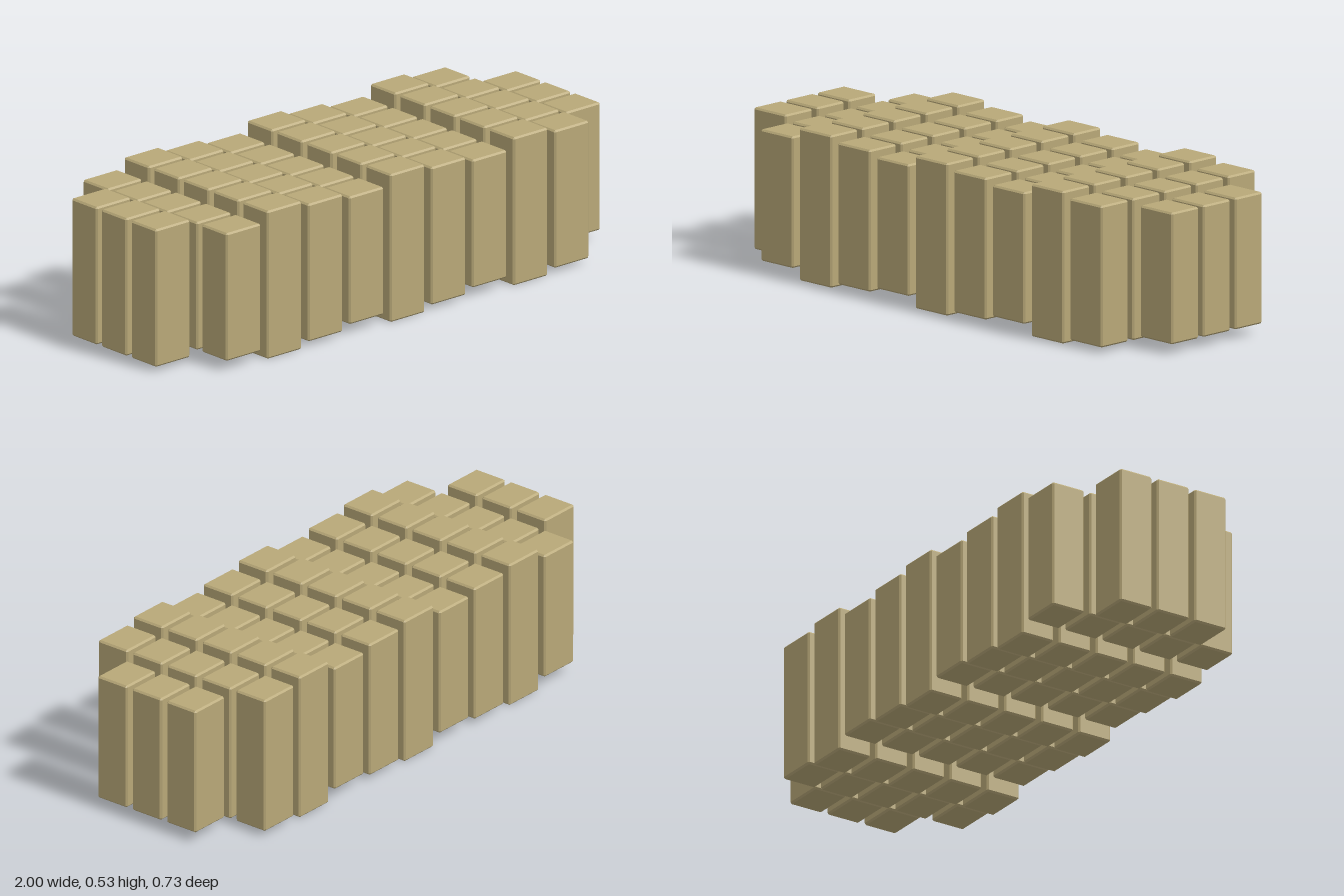
import * as THREE from 'three';
import { ConvexGeometry } from 'three/addons/geometries/ConvexGeometry.js';

const WIDTH = 0.155, DEPTH = 0.128, CHAMFER = 0.006;
const PITCH_X = 0.1845, PITCH_Z = 0.15, MID_Y = 0.2635;

// Box with all edges and corners cut flat: three points per corner.
function chamferedBox(w, h, d, c) {
  const points = [];
  for (const sx of [-1, 1]) for (const sy of [-1, 1]) for (const sz of [-1, 1]) {
    const x = w / 2, y = h / 2, z = d / 2;
    points.push(
      new THREE.Vector3(sx * x, sy * (y - c), sz * (z - c)),
      new THREE.Vector3(sx * (x - c), sy * y, sz * (z - c)),
      new THREE.Vector3(sx * (x - c), sy * (y - c), sz * z)
    );
  }
  return new ConvexGeometry(points);
}

export function createModel() {
  const model = new THREE.Group();
  model.name = 'blockCluster';
  const sand = new THREE.MeshStandardMaterial({ color: 0xb8a878 });
  sand.name = 'sand';

  // Three block heights repeat from column to column: medium, short, tall
  const blocks = [0.49, 0.455, 0.527].map(h => chamferedBox(WIDTH, h, DEPTH, CHAMFER));

  for (let row = -2; row <= 2; row++) {
    const rowGroup = new THREE.Group();
    rowGroup.name = `blockRow${row + 3}`;
    rowGroup.position.set(0, MID_Y, row * PITCH_Z);
    // The front and back rows are one block shorter at each end
    const reach = Math.abs(row) === 2 ? 4 : 5;
    for (let col = -reach; col <= reach; col++) {
      const block = new THREE.Mesh(blocks[(col + 5) % 3], sand);
      block.name = `block${col + 6}`;
      block.position.x = col * PITCH_X;
      rowGroup.add(block);
    }
    model.add(rowGroup);
  }
  return model;
}
